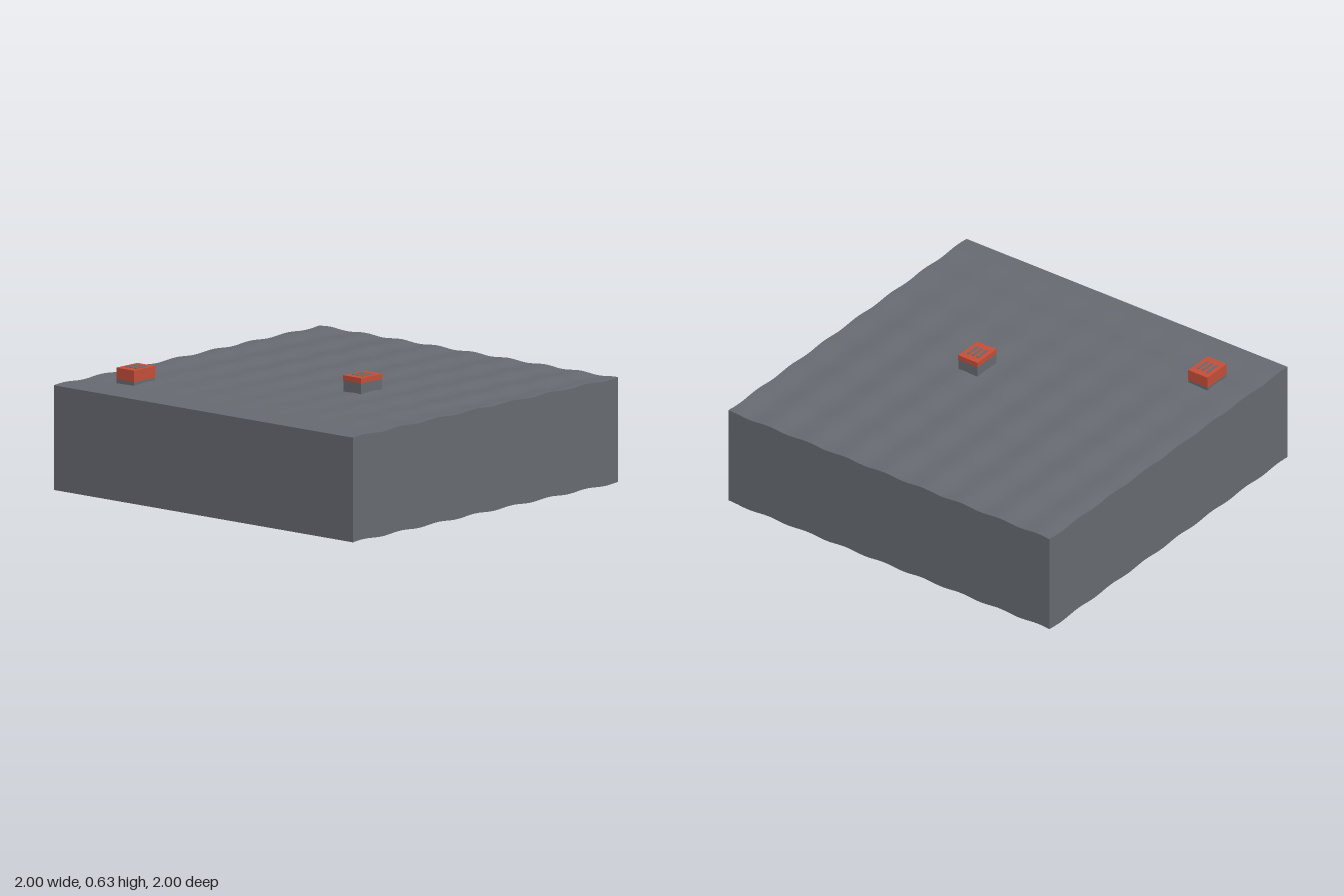
import * as THREE from 'three';

const SKIRT = 0.534;

// gentle ripples over the ground; the front edge stays level
function heightAt(x, z) {
  const alongZ = 0.004 * Math.cos((2 * Math.PI * (z - 0.08)) / 0.28);
  const alongX = 0.004 * Math.cos((2 * Math.PI * (x - 0.03)) / 0.24);
  return 0.54 + alongZ + alongX * Math.min(1, 1 - z);
}

export function createModel() {
  const model = new THREE.Group();
  const slate = new THREE.MeshStandardMaterial({ color: 0x666a70, side: THREE.DoubleSide });
  slate.name = 'slate grey';
  const red = new THREE.MeshStandardMaterial({ color: 0xc24e38 });
  red.name = 'brick red';

  function add(parent, name, geometry, material, x = 0, y = 0, z = 0) {
    const mesh = new THREE.Mesh(geometry, material);
    mesh.name = name;
    mesh.position.set(x, y, z);
    parent.add(mesh);
    return mesh;
  }

  // rippled ground surface
  const ground = new THREE.PlaneGeometry(2, 2, 100, 100).rotateX(-Math.PI / 2);
  const gp = ground.attributes.position;
  for (let i = 0; i < gp.count; i++) gp.setY(i, heightAt(gp.getX(i), gp.getZ(i)));
  ground.computeVertexNormals();
  add(model, 'ground', ground, slate);

  // four skirt walls whose lower edges repeat the ripples; open underneath
  ['frontSkirt', 'leftSkirt', 'backSkirt', 'rightSkirt'].forEach((name, k) => {
    const wall = new THREE.PlaneGeometry(2, 1, 100, 1).translate(0, 0, 1).rotateY((k * Math.PI) / 2);
    const p = wall.attributes.position;
    for (let i = 0; i < p.count; i++) {
      const top = heightAt(p.getX(i), p.getZ(i));
      p.setY(i, p.getY(i) > 0 ? top : top - SKIRT);
    }
    add(model, name, wall, slate);
  });

  // small vent boxes: grey base, red cover, three grey slots
  function ventBox(name, x, z, bottom, split, top) {
    const box = new THREE.Group();
    box.name = name;
    box.position.set(x, 0, z);
    add(box, 'ventBase', new THREE.BoxGeometry(0.118, split - bottom, 0.158), slate, 0, (bottom + split) / 2);
    add(box, 'ventCover', new THREE.BoxGeometry(0.12, top - split, 0.16), red, 0, (split + top) / 2);
    for (const i of [-1, 0, 1]) {
      add(box, 'ventSlot', new THREE.BoxGeometry(0.013, 0.004, 0.08), slate, i * 0.029, top + 0.001);
    }
    model.add(box);
  }
  ventBox('frontVent', -0.75, 0.663, 0.535, 0.557, 0.616);
  ventBox('middleVent', 0.25, 0.08, 0.54, 0.596, 0.623);

  return model;
}
